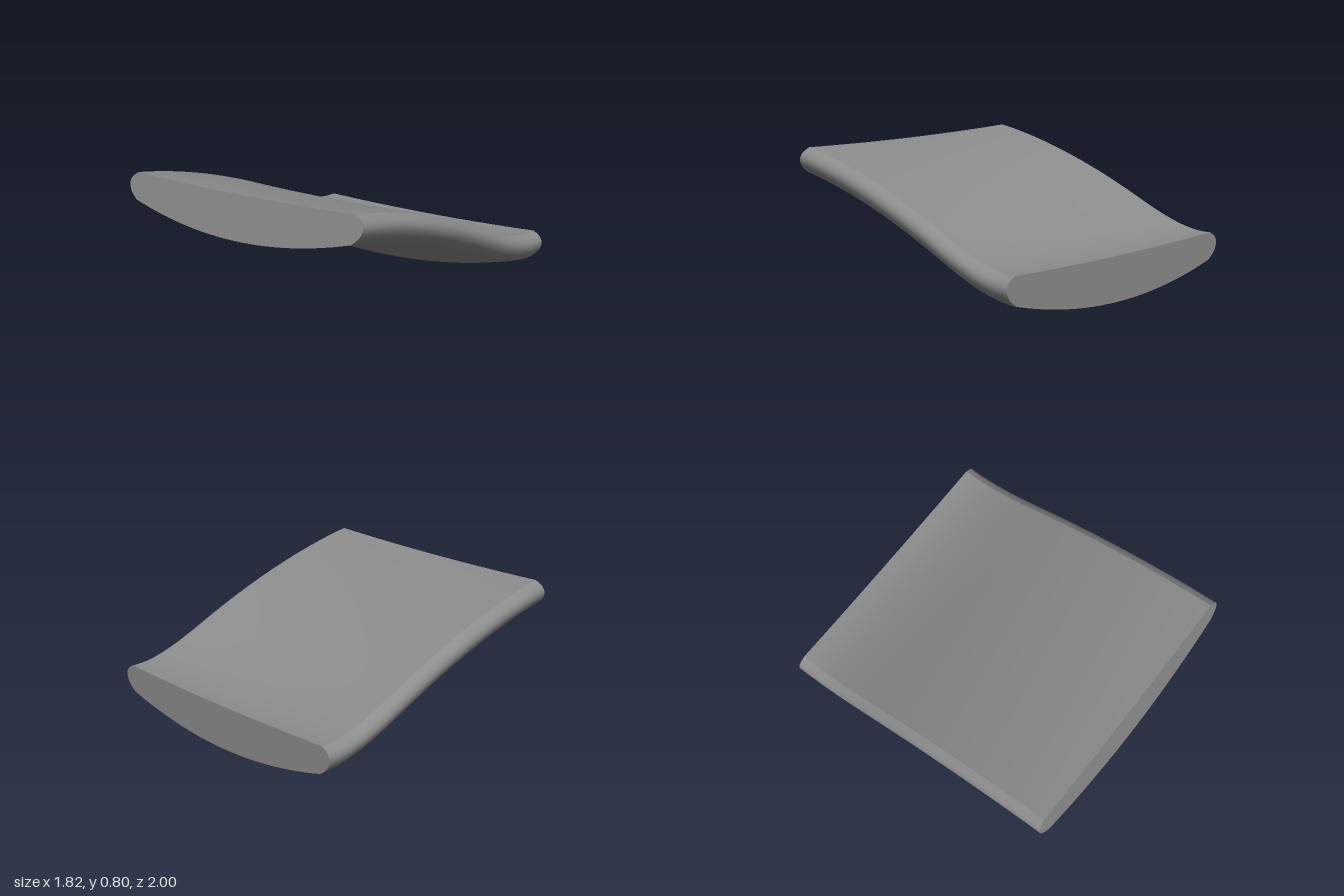
import * as THREE from 'three';
import { toCreasedNormals } from 'three/addons/utils/BufferGeometryUtils.js';

const vectors = (pts) => pts.map(([a, b]) => new THREE.Vector2(a, b));

// Two joined Bezier curves from seven [z, y] points, front to back
function sCurve(pts) {
  const v = vectors(pts);
  const front = new THREE.CubicBezierCurve(...v.slice(0, 4));
  const rear = new THREE.CubicBezierCurve(...v.slice(3));
  return (t) => (t < 0.5 ? front.getPoint(2 * t) : rear.getPoint(2 * t - 1));
}

// Lower and upper edge of the side profile
const lower = sCurve([[1, 0.52], [0.6, 0.46], [0.2, 0.358], [-0.195, 0.209], [-0.47, 0.105], [-0.72, 0], [-1, 0]]);
const upper = sCurve([[0.94, 0.803], [0.55, 0.756], [0.1, 0.635], [-0.3, 0.479], [-0.55, 0.381], [-0.78, 0.278], [-1, 0.298]]);

// Cross-section as [x, h]: h = 0 on the lower edge, 1 on the upper edge; counter-clockwise
function crossSection() {
  const out = [];
  const belly = 40, side = 12, top = 20;
  for (let i = 0; i < belly; i++) {
    const x = -0.84 + (1.68 * i) / belly;
    out.push(new THREE.Vector2(x, 0.41 * (x / 0.84) ** 2));
  }
  const edge = new THREE.SplineCurve(
    vectors([[0.84, 0.41], [0.89, 0.56], [0.912, 0.74], [0.897, 0.89], [0.85, 1]])).getPoints(side);
  out.push(...edge);
  for (let i = 1; i < top; i++) {
    const x = 0.85 - (1.7 * i) / top;
    out.push(new THREE.Vector2(x, 0.945 + 0.055 * (x / 0.85) ** 2));
  }
  for (let i = side; i > 0; i--) out.push(new THREE.Vector2(-edge[i].x, edge[i].y));
  return out;
}

// Sweeps the section between the two side curves and closes both ends
function sweepGeometry(stations) {
  const section = crossSection();
  const n = section.length;
  const positions = [], index = [];
  for (let j = 0; j <= stations; j++) {
    const b = lower(j / stations), t = upper(j / stations);
    for (const p of section) {
      positions.push(p.x, b.y + (t.y - b.y) * p.y, b.x + (t.x - b.x) * p.y);
    }
  }
  for (let j = 0; j < stations; j++) {
    for (let i = 0; i < n; i++) {
      const k = (i + 1) % n;
      const a = j * n + i, b = j * n + k, c = a + n, d = b + n;
      index.push(a, c, b, b, c, d);
    }
  }
  // End caps
  const back = stations * n;
  for (const [a, b, c] of THREE.ShapeUtils.triangulateShape(section, [])) {
    index.push(a, b, c, back + a, back + c, back + b);
  }
  const geometry = new THREE.BufferGeometry();
  geometry.setAttribute('position', new THREE.Float32BufferAttribute(positions, 3));
  geometry.setIndex(index);
  return toCreasedNormals(geometry, 0.4);
}

export function createModel() {
  const group = new THREE.Group();
  group.name = 'curvedCushion';
  const body = new THREE.Mesh(sweepGeometry(64), new THREE.MeshStandardMaterial({ color: 0x8c8c8c }));
  body.name = 'cushionBody';
  group.add(body);
  return group;
}
